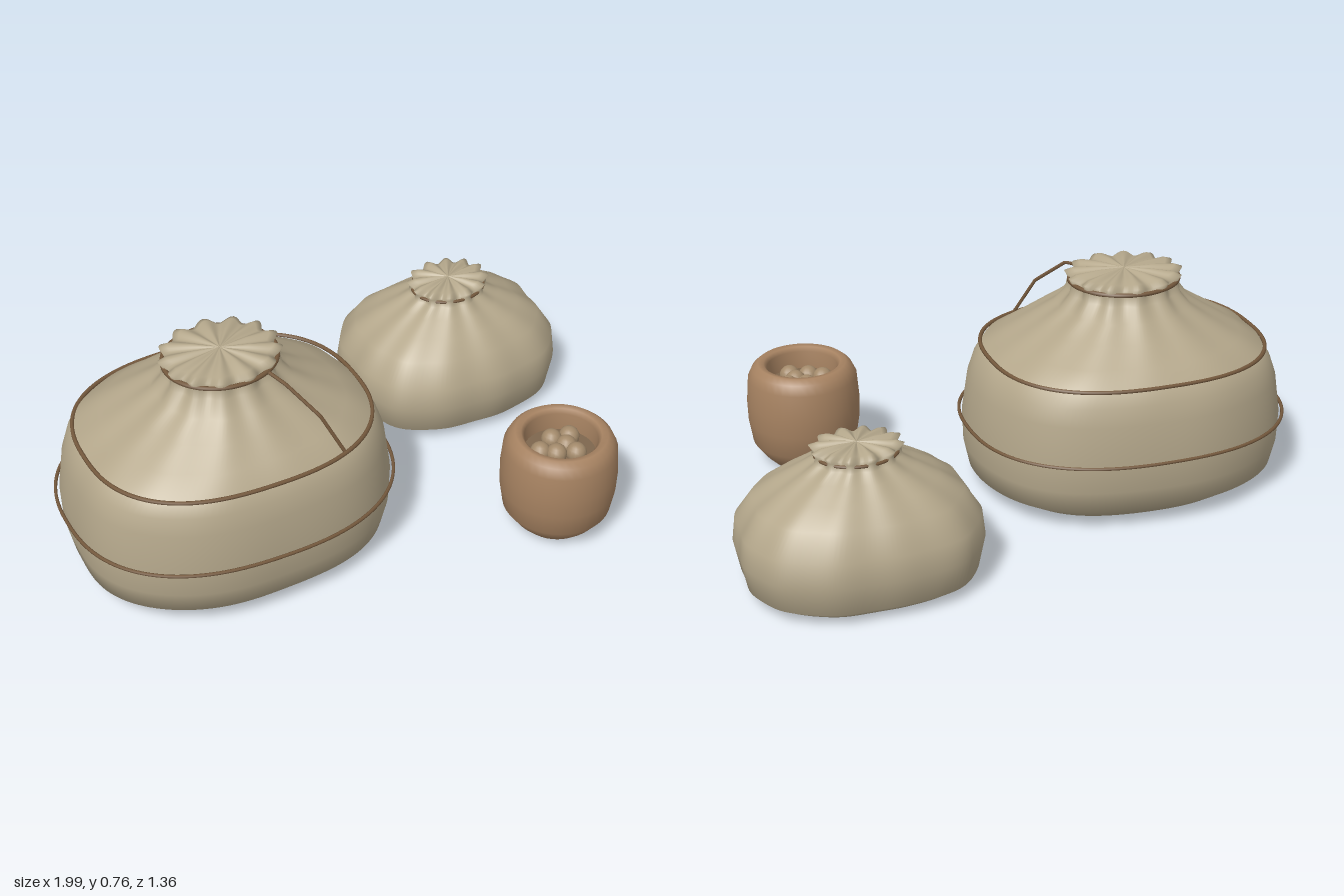
import * as THREE from 'three';

const mat = (name, color, side = THREE.FrontSide) => {
  const m = new THREE.MeshStandardMaterial({ color, side });
  m.name = name;
  return m;
};

// Radius factor of a rounded-square outline at angle t
const squareness = (t, n) =>
  Math.pow(Math.pow(Math.abs(Math.cos(t)), n) + Math.pow(Math.abs(Math.sin(t)), n), -1 / n);

// Cloth sack lofted through rings of [y, rx, rz, roundness exponent, pleat depth]
function sackGeometry(rings, pleats, phase) {
  const seg = 144, pos = [], idx = [];
  rings.forEach(([y, rx, rz, n, pleat]) => {
    for (let j = 0; j < seg; j++) {
      const t = (j / seg) * Math.PI * 2;
      const lobe = Math.cos(pleats * t + phase + 0.5 * Math.sin(2 * t + phase));
      const sag = 0.006 * Math.sin(3 * t + phase) + 0.005 * Math.sin(7 * t + 2 * phase);
      const r = squareness(t, n) * (1 + pleat * lobe + (pleat < 0.04 ? sag : 0));
      const lift = pleat > 0.04 ? lobe * 0.005 : 0;
      pos.push(rx * r * Math.cos(t), y + lift, rz * r * Math.sin(t));
    }
  });
  for (let i = 0; i < rings.length - 1; i++) {
    for (let j = 0; j < seg; j++) {
      const k = (j + 1) % seg;
      const a = i * seg + j, b = i * seg + k, c = a + seg, d = b + seg;
      idx.push(a, c, b, b, c, d);
    }
  }
  const g = new THREE.BufferGeometry();
  g.setAttribute('position', new THREE.Float32BufferAttribute(pos, 3));
  g.setIndex(idx);
  g.computeVertexNormals();
  return g;
}

// Closed cord loop around a sack
function cordLoop(y, rx, rz, n, radius, tilt = 0) {
  const pts = [];
  for (let i = 0; i < 40; i++) {
    const t = (i / 40) * Math.PI * 2, r = squareness(t, n);
    pts.push(new THREE.Vector3(rx * r * Math.cos(t), y + tilt * Math.cos(t), rz * r * Math.sin(t)));
  }
  return new THREE.TubeGeometry(new THREE.CatmullRomCurve3(pts, true), 120, radius, 6, true);
}

export function createModel() {
  const cloth = mat('sackcloth', 0xb4a78b);
  const rope = mat('rope', 0x765a3e);
  const clay = mat('clay', 0xa68261);
  const dark = mat('potInterior', 0x7d664d);
  const fruit = mat('nuts', 0xa38a6b);

  const model = new THREE.Group();
  const group = (name, x, z) => {
    const g = new THREE.Group();
    g.name = name;
    g.position.set(x, 0, z);
    model.add(g);
    return g;
  };
  const add = (parent, name, geometry, material) => {
    const m = new THREE.Mesh(geometry, material);
    m.name = name;
    parent.add(m);
    return m;
  };

  // Large tied sack
  const large = group('largeSack', -0.442, 0.025);
  add(large, 'largeSackBody', sackGeometry([
    [0.003, 0, 0, 2.3, 0],
    [0.003, 0.31, 0.25, 2.3, 0],
    [0.018, 0.43, 0.35, 2.4, 0],
    [0.07, 0.518, 0.42, 2.4, 0],
    [0.15, 0.535, 0.44, 2.4, 0],
    [0.25, 0.538, 0.445, 2.4, 0],
    [0.38, 0.52, 0.43, 2.4, 0],
    [0.44, 0.497, 0.412, 2.5, 0.002],
    [0.49, 0.467, 0.388, 2.5, 0.004],
    [0.535, 0.39, 0.335, 2.4, 0.008],
    [0.59, 0.3, 0.275, 2.3, 0.015],
    [0.64, 0.225, 0.215, 2.15, 0.025],
    [0.685, 0.19, 0.175, 2, 0.038],
    [0.72, 0.182, 0.162, 2, 0.05],
    [0.74, 0.19, 0.168, 2, 0.065],
    [0.75, 0.165, 0.145, 2, 0.06],
    [0.755, 0.09, 0.08, 2, 0.05],
    [0.757, 0, 0, 2, 0],
  ], 13, 0.6), cloth);
  add(large, 'lowerCord', cordLoop(0.247, 0.55, 0.455, 2.4, 0.006, 0.003), rope);
  add(large, 'upperCord', cordLoop(0.49, 0.474, 0.395, 2.5, 0.007, 0.003), rope);
  add(large, 'neckCord', cordLoop(0.722, 0.185, 0.166, 2, 0.008), rope);
  // Loose cord running from neck to upper loop
  const hanging = new THREE.CurvePath();
  const p = [[0.1, 0.722, 0.15], [0.125, 0.712, 0.215], [0.2, 0.622, 0.305], [0.26, 0.495, 0.352]]
    .map(v => new THREE.Vector3(...v));
  for (let i = 0; i < p.length - 1; i++) hanging.add(new THREE.LineCurve3(p[i], p[i + 1]));
  add(large, 'hangingCord', new THREE.TubeGeometry(hanging, 30, 0.006, 6), rope);

  // Small sack
  const small = group('smallSack', 0.606, -0.362);
  add(small, 'smallSackBody', sackGeometry([
    [0.003, 0, 0, 2.4, 0],
    [0.003, 0.24, 0.2, 2.4, 0],
    [0.014, 0.32, 0.265, 2.6, 0.004],
    [0.045, 0.368, 0.305, 2.6, 0.006],
    [0.14, 0.386, 0.32, 2.6, 0.008],
    [0.22, 0.376, 0.31, 2.6, 0.01],
    [0.3, 0.325, 0.26, 2.5, 0.014],
    [0.35, 0.25, 0.205, 2.4, 0.02],
    [0.39, 0.183, 0.155, 2.2, 0.03],
    [0.42, 0.138, 0.122, 2, 0.039],
    [0.44, 0.132, 0.112, 2, 0.06],
    [0.455, 0.14, 0.116, 2, 0.075],
    [0.464, 0.115, 0.095, 2, 0.07],
    [0.467, 0.06, 0.05, 2, 0.05],
    [0.468, 0, 0, 2, 0],
  ], 12, 1.9), cloth);
  add(small, 'smallNeckCord', cordLoop(0.436, 0.131, 0.112, 2, 0.006), rope);

  // Clay pot with a rounded rim
  const pot = group('pot', 0.56, 0.48);
  const profile = [
    [0, 0.01], [0.113, 0.01], [0.145, 0.042], [0.18, 0.09], [0.193, 0.17], [0.195, 0.24],
    [0.188, 0.325], [0.172, 0.358], [0.152, 0.375], [0.132, 0.372], [0.121, 0.358],
    [0.12, 0.29],
  ].map(([x, y]) => new THREE.Vector2(x, y));
  add(pot, 'potBody', new THREE.LatheGeometry(profile, 40), clay);
  const fill = add(pot, 'potInterior', new THREE.CircleGeometry(0.122, 40), dark);
  fill.rotation.x = -Math.PI / 2;
  fill.position.y = 0.295;

  // Nuts lying in the pot
  [[0, -0.055], [0.06, -0.042], [-0.068, -0.014], [-0.026, 0.018], [0.035, 0.042], [0.026, -0.005]]
    .forEach(([x, z], i) => {
      const nut = add(pot, 'nut' + (i + 1), new THREE.SphereGeometry(0.035, 14, 10), fruit);
      nut.position.set(x, 0.31, z);
    });

  return model;
}
